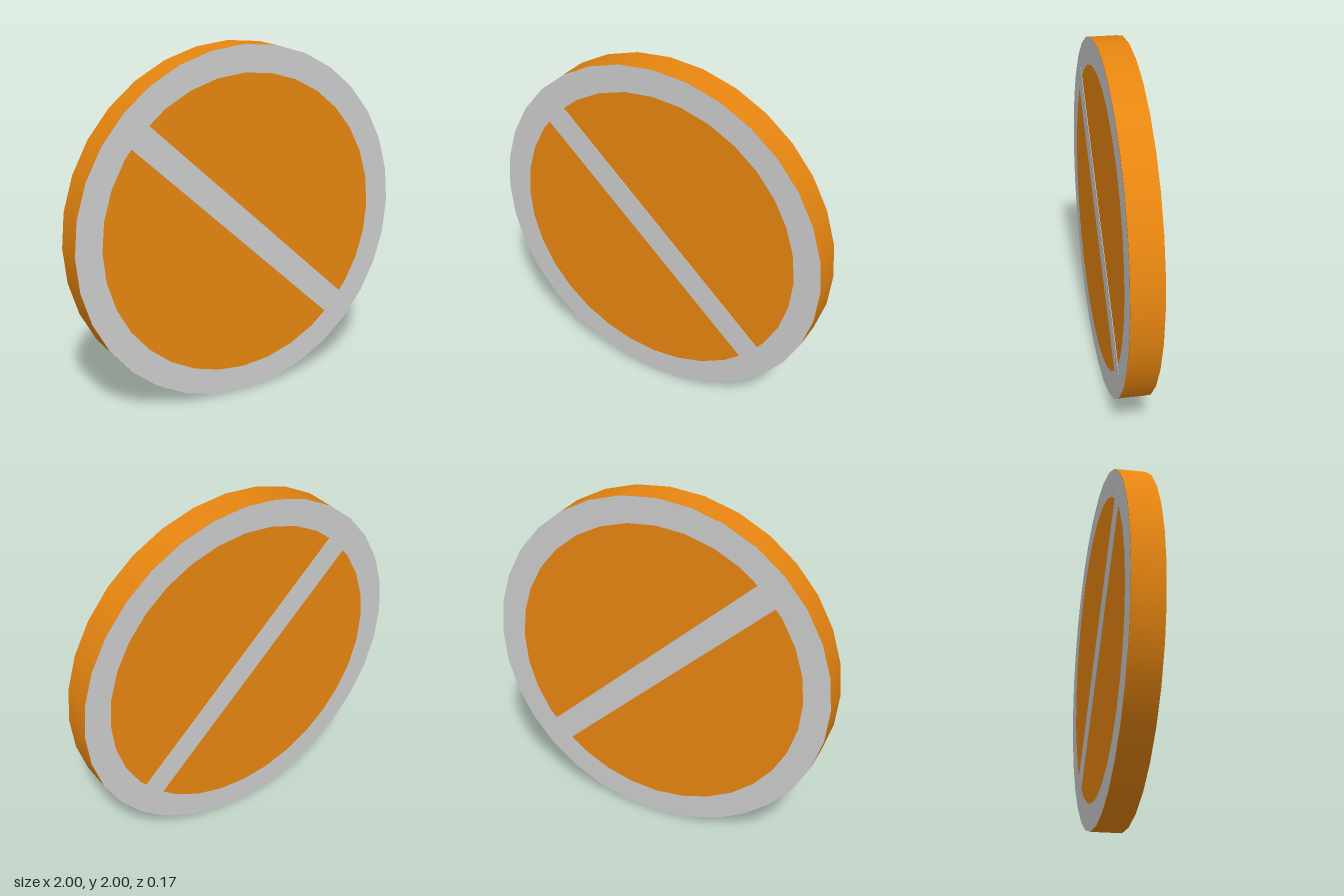
import * as THREE from 'three';

const SIDES = 32;
const HALF_DEPTH = 0.085;

export function createModel() {
  const group = new THREE.Group();
  const orange = new THREE.MeshStandardMaterial({ color: 0xe68510 });
  const grey = new THREE.MeshStandardMaterial({ color: 0xcccccc });

  const add = (name, geometry, material) => {
    const mesh = new THREE.Mesh(geometry, material);
    mesh.name = name;
    mesh.position.y = 1;
    group.add(mesh);
    return mesh;
  };

  // Solid disc standing on its edge
  const disc = new THREE.CylinderGeometry(1, 1, HALF_DEPTH * 2, SIDES);
  add('disc', disc.rotateX(Math.PI / 2), orange);

  // Flat border on the front and back faces
  for (const [name, turn] of [['frontBorder', 0], ['backBorder', Math.PI]]) {
    const ring = new THREE.RingGeometry(0.85, 1, SIDES);
    ring.translate(0, 0, HALF_DEPTH + 0.0015).rotateY(turn);
    add(name, ring, grey);
  }

  // Diagonal bar running through the disc, just proud of both faces
  const bar = new THREE.BoxGeometry(1.8, 0.15, HALF_DEPTH * 2 + 0.005);
  add('diagonalBar', bar, grey).rotation.z = THREE.MathUtils.degToRad(-43);

  return group;
}
